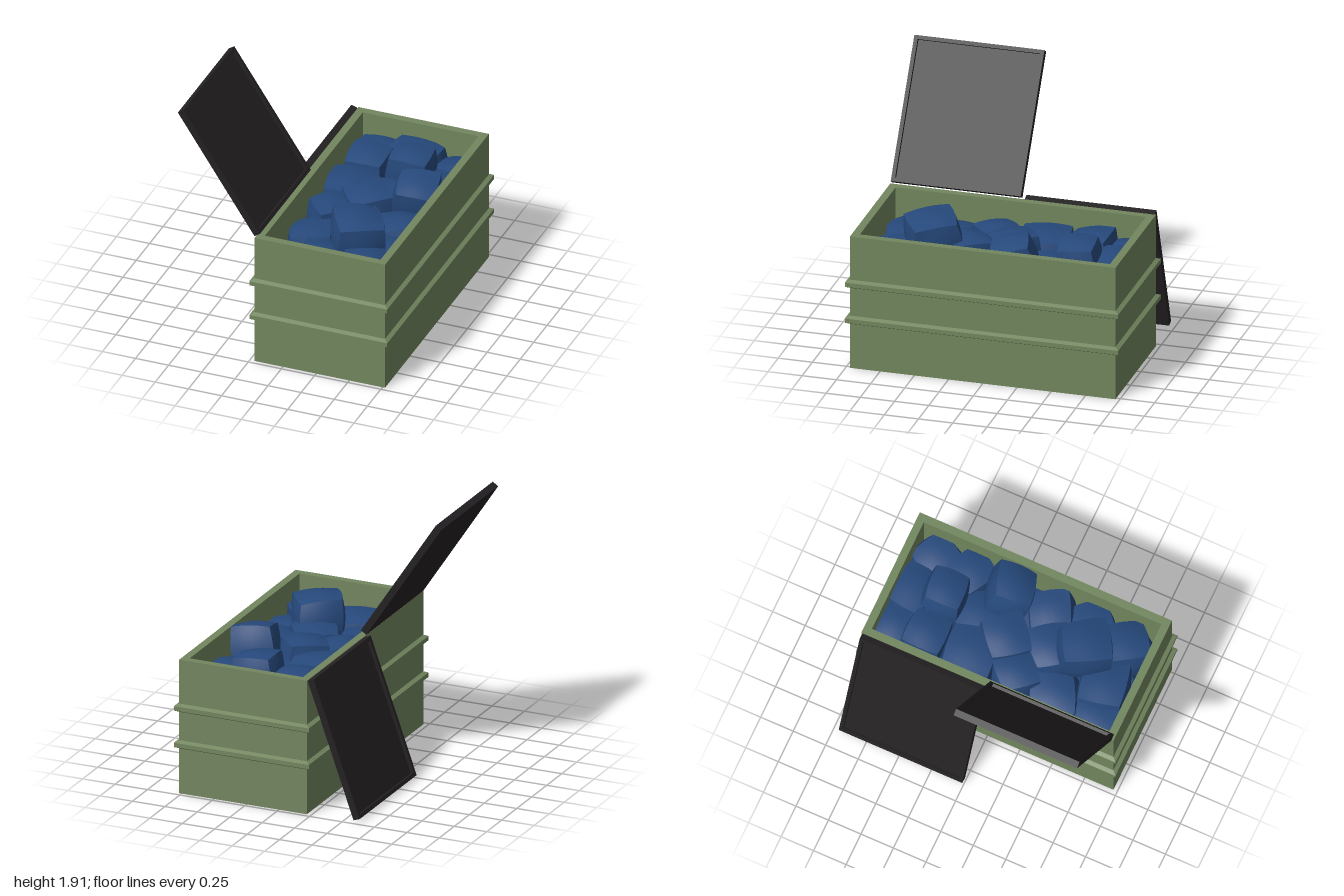
import * as THREE from 'three';
import { mergeVertices, toCreasedNormals } from 'three/addons/utils/BufferGeometryUtils.js';

const green = new THREE.MeshStandardMaterial({ color: 0x72865f });
const black = new THREE.MeshStandardMaterial({ color: 0x242123 });
const blue = new THREE.MeshStandardMaterial({ color: 0x26497c });

const CX = 0.2775, W = 0.985, D = 1.94, WALL = 0.056; // bin centre, outer size, wall

let seed = 7;
const rand = () => (seed = (seed * 16807) % 2147483647) / 2147483647;

function mesh(name, geometry, material) {
  const m = new THREE.Mesh(geometry, material);
  m.name = name;
  return m;
}

// Rectangular frame lying flat, its height along +y
function frame(w, d, rim, height, bevel = {}) {
  const rect = (path, a, b) =>
    path.moveTo(-a, -b).lineTo(a, -b).lineTo(a, b).lineTo(-a, b).closePath();
  const shape = rect(new THREE.Shape(), w / 2, d / 2);
  shape.holes.push(rect(new THREE.Path(), w / 2 - rim, d / 2 - rim));
  return new THREE.ExtrudeGeometry(shape, { depth: height, bevelEnabled: false, ...bevel })
    .rotateX(-Math.PI / 2);
}

// Lid hinged along its local x = 0 edge, underside recessed inside a rim
function lid(name, x, y, z, degrees) {
  const length = 1.05, width = 0.95, thick = 0.05, recess = 0.024;
  const g = new THREE.Group();
  g.name = name;
  const panel = mesh('lidPanel', new THREE.BoxGeometry(length, thick - recess, width), black);
  panel.position.set(length / 2, recess / 2, 0);
  const rim = mesh('lidRim', frame(length, width, 0.028, recess), black);
  rim.position.set(length / 2, -thick / 2, 0);
  g.add(panel, rim);
  g.position.set(x, y, z);
  g.rotation.z = THREE.MathUtils.degToRad(degrees);
  return g;
}

// Stuffed bag: a cube with softened, irregular corners, kept within the walls
function bag(x, z, top, w, d, turn, tilt = 0.1) {
  let geo = new THREE.BoxGeometry(2, 2, 2, 6, 6, 6);
  geo.deleteAttribute('normal');
  geo.deleteAttribute('uv');
  geo = mergeVertices(geo);
  const corners = Array.from({ length: 8 }, () => 0.9 + rand() * 0.2);
  const h = 0.36;
  const euler = new THREE.Euler((rand() - 0.5) * 2 * tilt, turn, (rand() - 0.5) * 2 * tilt, 'YXZ');
  const pos = geo.attributes.position, v = new THREE.Vector3(), ball = new THREE.Vector3();
  for (let i = 0; i < pos.count; i++) {
    v.fromBufferAttribute(pos, i);
    // trilinear blend of the corner swellings
    let swell = 0;
    corners.forEach((c, k) => {
      swell += c * (1 + (k & 1 ? v.x : -v.x)) * (1 + (k & 2 ? v.y : -v.y)) *
        (1 + (k & 4 ? v.z : -v.z)) / 8;
    });
    ball.copy(v).normalize().multiplyScalar(1.2);
    v.lerp(ball, 0.42).multiplyScalar(swell / 1.08);
    v.multiply(ball.set(w / 2, h / 2, d / 2)).applyEuler(euler);
    pos.setXYZ(i, v.x + x, v.y, v.z + z);
  }
  geo.computeBoundingBox();
  geo.translate(0, top - geo.boundingBox.max.y, 0);
  const ax = W / 2 - 0.03, az = D / 2 - 0.03;
  for (let i = 0; i < pos.count; i++) {
    pos.setX(i, THREE.MathUtils.clamp(pos.getX(i), CX - ax, CX + ax));
    pos.setZ(i, THREE.MathUtils.clamp(pos.getZ(i), -az, az));
  }
  geo.computeVertexNormals();
  return mesh('bag', toCreasedNormals(geo, 0.75), blue);
}

export function createModel() {
  const model = new THREE.Group();
  model.name = 'openBin';

  // Open bin: walls, floor and two ridges around it
  const bin = new THREE.Group();
  bin.name = 'bin';
  bin.position.x = CX;
  const floor = mesh('floor', new THREE.BoxGeometry(W - 0.02, 0.05, D - 0.02), green);
  floor.position.y = 0.0255;
  bin.add(mesh('walls', frame(W, D, WALL, 1), green), floor);
  for (const y of [0.336, 0.61]) {
    const ridge = mesh('ridge', frame(W, D, 0.02, 0.032,
      { bevelEnabled: true, bevelThickness: 0.015, bevelSize: 0.028, bevelSegments: 1 }), green);
    ridge.position.y = y + 0.015;
    bin.add(ridge);
  }
  model.add(bin);

  // One lid standing open, one hanging down the side
  model.add(lid('raisedLid', -0.2, 1.02, 0.482, 123.4));
  model.add(lid('hangingLid', -0.24, 1.005, -0.485, 250.3));

  // Upper bags: x, z, top height, width, depth, turn, tilt
  const bags = new THREE.Group();
  bags.name = 'bags';
  const upper = [
    [0.0, -0.82, 0.86, 0.34, 0.3, 0.1], [0.3, -0.8, 0.9, 0.4, 0.32, -0.15],
    [0.6, -0.76, 0.84, 0.34, 0.34, -0.5], [0.03, -0.58, 0.93, 0.33, 0.33, 0],
    [0.34, -0.58, 1.0, 0.34, 0.32, 0.07], [0.58, -0.48, 0.86, 0.34, 0.32, -0.5],
    [0.04, -0.25, 0.9, 0.4, 0.4, 0.15], [0.34, -0.32, 0.84, 0.34, 0.34, 0.4],
    [0.54, -0.16, 1.05, 0.34, 0.34, 0.2, 0.25], [0.22, -0.07, 0.95, 0.34, 0.34, 0.7],
    [0.02, 0.1, 0.9, 0.34, 0.34, 0.75], [0.56, 0.15, 0.88, 0.34, 0.34, 0.5],
    [0.28, 0.27, 0.92, 0.36, 0.34, 0.65], [0.0, 0.42, 0.85, 0.36, 0.38, 0.4],
    [0.36, 0.47, 1.07, 0.36, 0.38, 0.55, 0.25], [0.59, 0.42, 0.84, 0.34, 0.36, 0.7],
    [-0.02, 0.72, 0.82, 0.32, 0.38, -0.3], [0.2, 0.7, 0.87, 0.38, 0.36, 0.2],
    [0.53, 0.72, 0.9, 0.34, 0.36, 0.6],
  ];
  for (const b of upper) bags.add(bag(...b));

  // Bags filling the bin below
  for (const top of [0.4, 0.66])
    for (let i = 0; i < 5; i++)
      for (const x of [0.0, 0.28, 0.56])
        bags.add(bag(x, -0.74 + i * 0.37, top, 0.36, 0.4, rand()));
  model.add(bags);

  return model;
}
